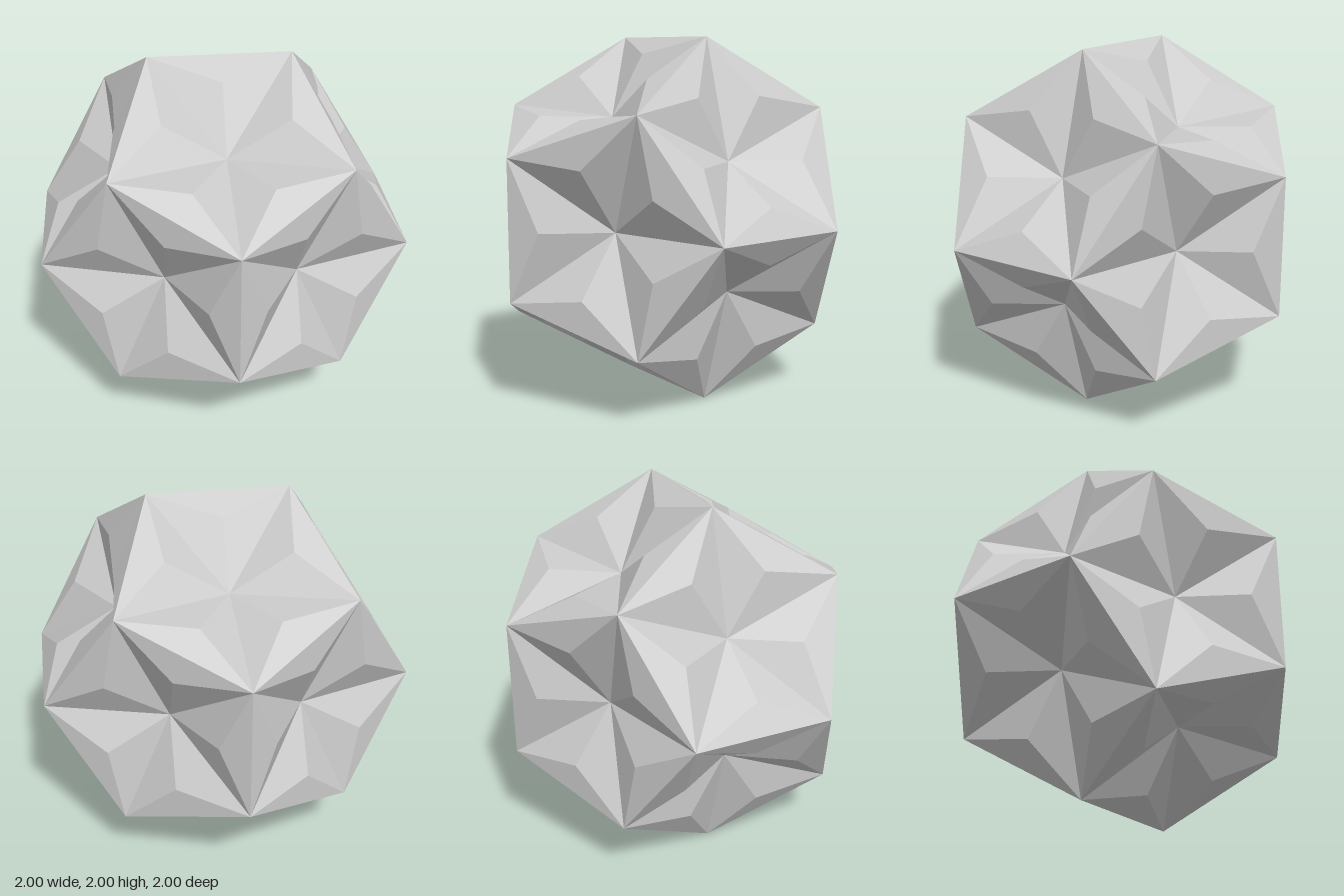
import * as THREE from 'three';

// Dodecahedron whose pentagons are dented to a central pit,
// with a small raised pyramid on each of the five triangles around it.
const A = 0.618, B = 0.382; // corner coordinates
const DENT = 0.785;         // pit depth as a fraction of the face distance

function corners() {
  const list = [];
  for (const s of [-1, 1]) for (const t of [-1, 1]) {
    for (const u of [-1, 1]) list.push(new THREE.Vector3(s * A, t * A, u * A));
    list.push(
      new THREE.Vector3(s * B, t, 0),
      new THREE.Vector3(0, s * B, t),
      new THREE.Vector3(t, 0, s * B));
  }
  return list;
}

function faceNormals() {
  const list = [], p = 0.5257, q = 0.8507;
  for (const s of [-1, 1]) for (const t of [-1, 1]) list.push(
    new THREE.Vector3(s * p, 0, t * q),
    new THREE.Vector3(0, s * q, t * p),
    new THREE.Vector3(s * q, t * p, 0));
  return list;
}

// The five corners of one pentagon, counter-clockwise seen from outside
function pentagon(normal, points) {
  const ring = points.filter(p => p.dot(normal) > 0.8);
  const centre = normal.clone().multiplyScalar(ring[0].dot(normal));
  const u = ring[0].clone().sub(centre).normalize();
  const v = normal.clone().cross(u);
  const angle = p => Math.atan2(p.clone().sub(centre).dot(v), p.clone().sub(centre).dot(u));
  return { centre, ring: ring.sort((a, b) => angle(a) - angle(b)) };
}

export function createModel() {
  const group = new THREE.Group();
  group.name = 'dentedDodecahedron';
  const material = new THREE.MeshStandardMaterial({ color: 0xcccccc, flatShading: true });
  const points = corners();

  faceNormals().forEach((normal, index) => {
    const { centre, ring } = pentagon(normal, points);
    const pit = centre.clone().multiplyScalar(DENT);
    const triangles = [];
    ring.forEach((a, i) => {
      const b = ring[(i + 1) % 5];
      // Pyramid tip, level with the undented pentagon
      const tip = a.clone().add(b).add(centre).divideScalar(3);
      triangles.push(a, b, tip, b, pit, tip, pit, a, tip);
    });
    const geometry = new THREE.BufferGeometry().setFromPoints(triangles);
    geometry.computeVertexNormals();
    const face = new THREE.Mesh(geometry, material);
    face.name = `dentedFace${index + 1}`;
    face.position.y = 1;
    group.add(face);
  });
  return group;
}
